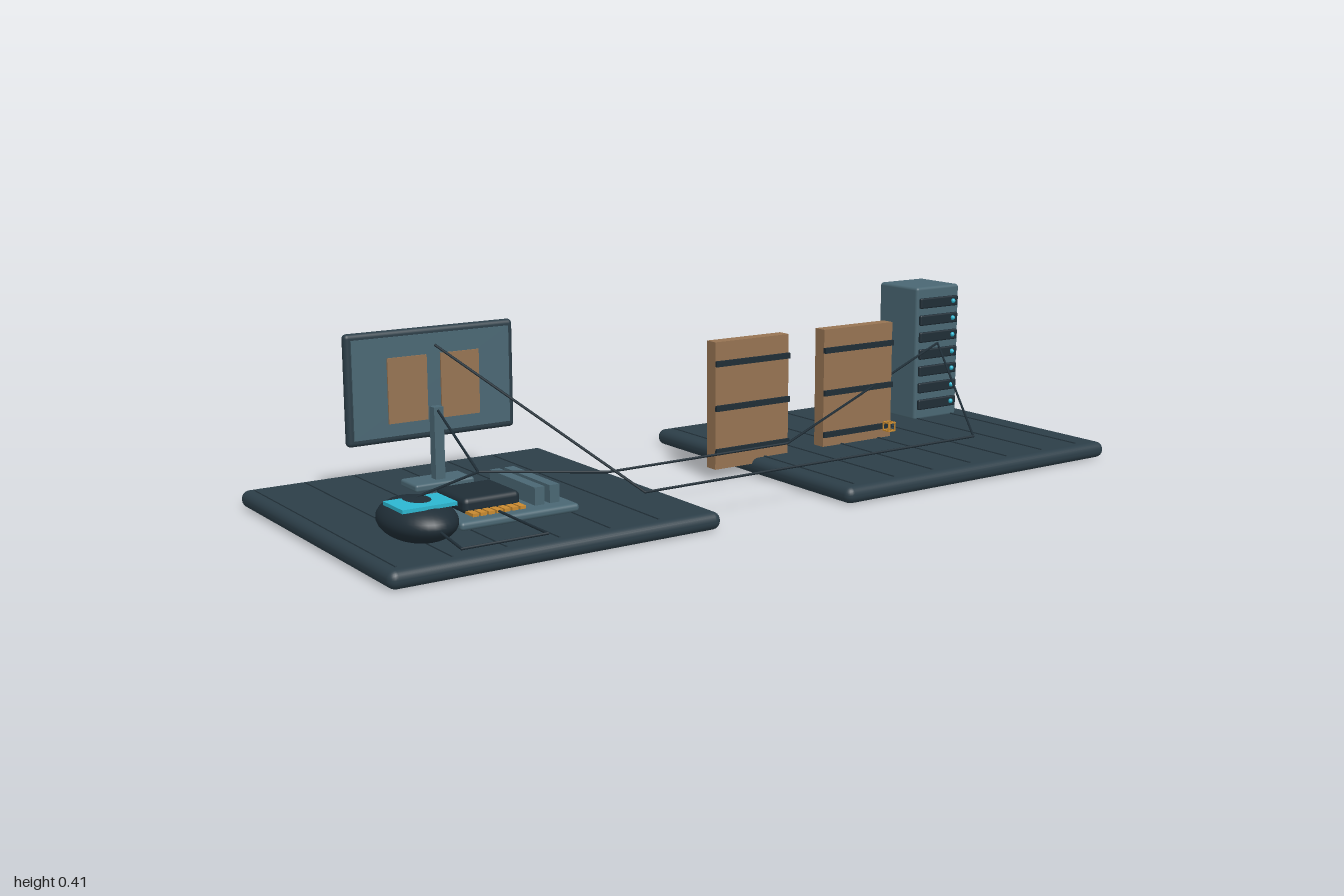
import * as THREE from 'three';
import { RoundedBoxGeometry } from 'three/addons/geometries/RoundedBoxGeometry.js';

const mat = (name, color) => {
  const m = new THREE.MeshStandardMaterial({ color });
  m.name = name;
  return m;
};

export function createModel() {
  const slate = mat('dark slate', 0x2c3e48);
  const ink = mat('ink', 0x1f2d36);
  const teal = mat('steel teal', 0x4a6773);
  const wood = mat('brown panel', 0x967352);
  const cyan = mat('cyan light', 0x2cb6d0);
  const gold = mat('gold contact', 0xc98a30);

  const model = new THREE.Group();
  model.name = 'networkDiorama';

  const group = (name) => {
    const g = new THREE.Group();
    g.name = name;
    model.add(g);
    return g;
  };
  const add = (parent, name, geo, material, x = 0, y = 0, z = 0) => {
    const m = new THREE.Mesh(geo, material);
    m.name = name;
    m.position.set(x, y, z);
    parent.add(m);
    return m;
  };
  // Box given by its limits on each axis, with optional rounded edges
  const box = (parent, name, material, [x0, x1], [y0, y1], [z0, z1], r = 0) => {
    const s = [x1 - x0, y1 - y0, z1 - z0];
    const geo = r ? new RoundedBoxGeometry(...s, 3, r) : new THREE.BoxGeometry(...s);
    return add(parent, name, geo, material, (x0 + x1) / 2, (y0 + y1) / 2, (z0 + z1) / 2);
  };

  // Two floor platforms with thin seams
  const platform = (name, x0, x1, firstSeam, seams) => {
    const g = group(name);
    box(g, 'slab', slate, [x0, x1], [0, 0.04], [-0.405, 0.39], 0.019);
    for (let i = 0; i < seams; i++) {
      const x = firstSeam + i * 0.1228;
      box(g, 'seam', slate, [x - 0.002, x + 0.002], [0.038, 0.043], [-0.375, 0.36]);
    }
  };
  platform('leftPlatform', -1, -0.21, -0.973, 6);
  platform('rightPlatform', 0.145, 1, 0.185, 7);

  // Monitor
  const monitor = group('monitor');
  box(monitor, 'housing', slate, [-0.817, -0.393], [0.15, 0.407], [-0.225, -0.202], 0.01);
  box(monitor, 'screen', teal, [-0.803, -0.407], [0.165, 0.393], [-0.205, -0.199]);
  for (const x of [-0.67, -0.537])
    box(monitor, 'window', wood, [x - 0.049, x + 0.049], [0.195, 0.346], [-0.2, -0.195]);
  box(monitor, 'pole', teal, [-0.617, -0.593], [0.05, 0.225], [-0.198, -0.174]);
  box(monitor, 'foot', teal, [-0.68, -0.53], [0.038, 0.056], [-0.232, -0.15], 0.006);

  // Circuit board with processor, contacts and memory sticks
  const board = group('circuitBoard');
  box(board, 'boardPlate', teal, [-0.76, -0.473], [0.045, 0.064], [-0.048, 0.225], 0.008);
  box(board, 'processor', ink, [-0.722, -0.585], [0.062, 0.097], [0.03, 0.166], 0.012);
  for (let i = 0; i < 7; i++) {
    const x = -0.71 + i * 0.0188;
    box(board, 'contact', gold, [x - 0.007, x + 0.007], [0.062, 0.071], [0.16, 0.196]);
  }
  for (const x of [-0.551, -0.514])
    box(board, 'memoryStick', teal, [x - 0.012, x + 0.012], [0.058, 0.104], [-0.015, 0.187]);

  // Mouse
  const mouse = group('mouse');
  add(mouse, 'mouseBody', new THREE.SphereGeometry(1, 36, 24), ink, -0.848, 0.083, 0.2)
    .scale.set(0.077, 0.045, 0.113);
  box(mouse, 'mouseLight', cyan, [-0.913, -0.79], [0.117, 0.125], [0.18, 0.27]);

  // Barrier walls with cross straps
  for (const [x0, x1] of [[0.035, 0.257], [0.37, 0.595]]) {
    const g = group('barrierWall');
    box(g, 'panel', wood, [x0, x1], [0.027, 0.34], [-0.017, 0.018]);
    for (const y of [0.287, 0.178, 0.071])
      box(g, 'strap', ink, [x0, x1], [y - 0.007, y + 0.007], [0.016, 0.025]);
  }

  // Server tower with drive bays
  const tower = group('serverTower');
  box(tower, 'cabinet', teal, [0.787, 0.94], [0.036, 0.4], [-0.254, -0.102], 0.008);
  for (let i = 0; i < 7; i++) {
    const y = 0.079 + i * 0.0463;
    box(tower, 'driveBay', ink, [0.796, 0.931], [y - 0.014, y + 0.014], [-0.104, -0.094], 0.004);
    add(tower, 'indicator', new THREE.SphereGeometry(0.0065, 12, 8), cyan, 0.911, y, -0.0935);
  }

  // Small floating open cube
  const cube = group('packetFrame');
  cube.position.set(0.31, 0.157, 0.336);
  const bar = 0.003, h = 0.0095;
  for (const a of [-h, h]) for (const b of [-h, h]) {
    add(cube, 'frameBarX', new THREE.BoxGeometry(2 * h + bar, bar, bar), gold, 0, a, b);
    add(cube, 'frameBarY', new THREE.BoxGeometry(bar, 2 * h + bar, bar), gold, a, 0, b);
    add(cube, 'frameBarZ', new THREE.BoxGeometry(bar, bar, 2 * h + bar), gold, a, b, 0);
  }

  // Cables, straight between their corner points
  const cable = (name, points) => {
    const path = new THREE.CurvePath();
    const v = points.map((p) => new THREE.Vector3(...p));
    const g = group(name);
    for (let i = 1; i < v.length; i++) {
      path.add(new THREE.LineCurve3(v[i - 1], v[i]));
      add(g, 'cableRun', new THREE.TubeGeometry(path.curves[i - 1], 1, 0.003, 8), ink);
      if (i < v.length - 1)
        add(g, 'cableBend', new THREE.SphereGeometry(0.003, 8, 6), ink, ...points[i]);
    }
  };
  cable('mainCable', [[-0.85, 0.128, 0.2], [-0.652, 0.134, 0.1], [-0.36, 0.105, 0.16],
    [0.145, 0.105, 0.16], [0.86, 0.245, -0.096]]);
  cable('screenCable', [[-0.605, 0.368, -0.185], [-0.36, 0.09, 0.31],
    [0.61, 0.09, 0.31], [0.86, 0.245, -0.096]]);
  cable('processorCable', [[-0.605, 0.22, -0.185], [-0.652, 0.134, 0.1]]);
  cable('mouseCable', [[-0.85, 0.08, 0.3], [-0.85, 0.066, 0.4],
    [-0.655, 0.066, 0.4], [-0.655, 0.068, 0.17]]);

  return model;
}
